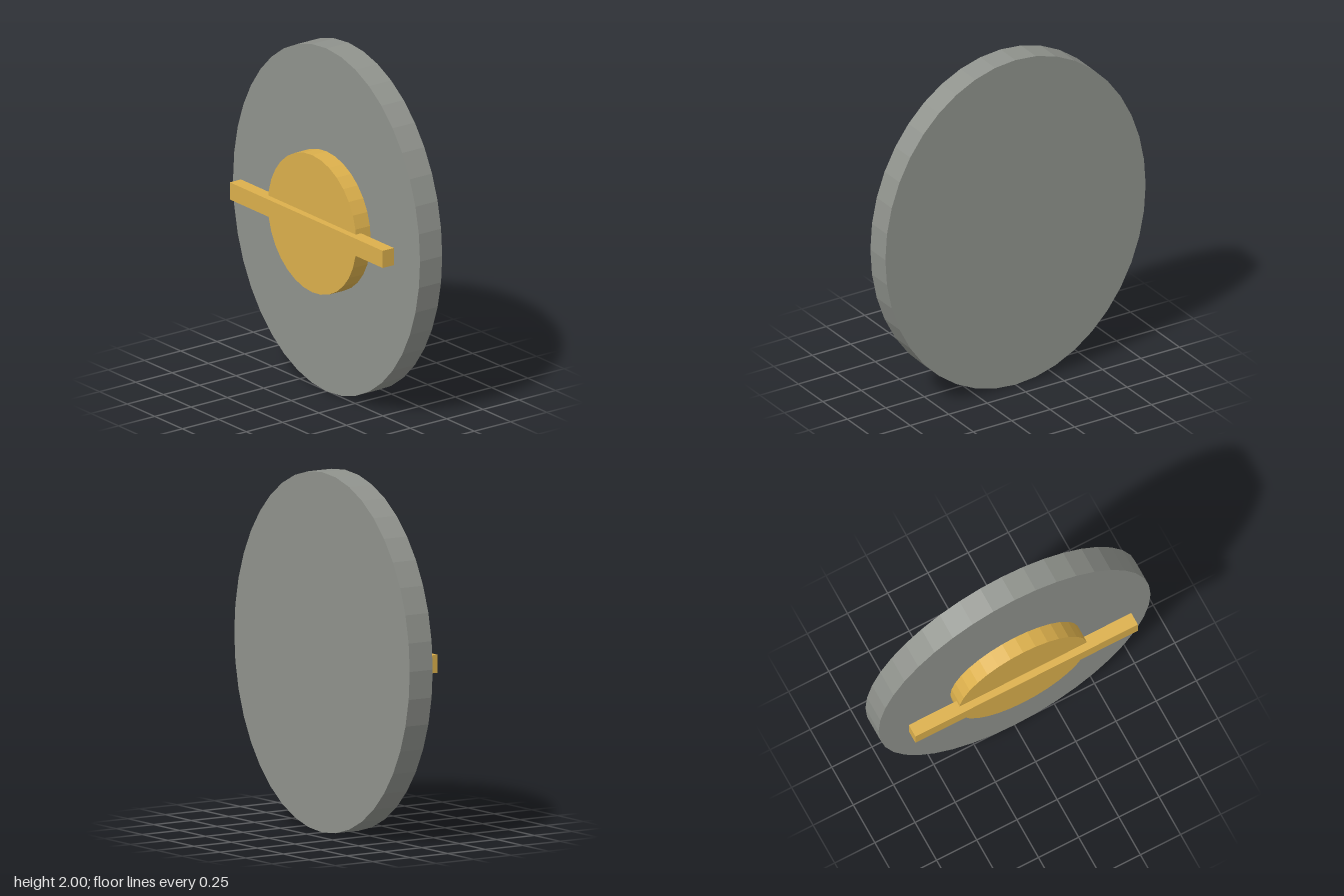
import * as THREE from 'three';

const MID_Y = 1;

export function createModel() {
  const group = new THREE.Group();
  const grey = new THREE.MeshStandardMaterial({ color: 0x90938d, flatShading: true });
  const gold = new THREE.MeshStandardMaterial({ color: 0xdcb04c, flatShading: true });

  const add = (name, geometry, material, z) => {
    const mesh = new THREE.Mesh(geometry, material);
    mesh.name = name;
    mesh.position.set(0, MID_Y, z);
    group.add(mesh);
  };

  // Disc lying in the xy plane, facing +z
  const disc = (rx, ry, depth, sides) =>
    new THREE.CylinderGeometry(1, 1, depth, sides).rotateX(Math.PI / 2).scale(rx, ry, 1);

  // Oval plate at the back
  add('backPlate', disc(0.846, 1, 0.153, 40), grey, -0.07);

  // Round boss, seated slightly inside the plate
  add('centreBoss', disc(0.4, 0.4, 0.116, 32), gold, 0.048);

  // Horizontal bar across the boss
  add('crossBar', new THREE.BoxGeometry(1.384, 0.1, 0.077), gold, 0.108);

  return group;
}
